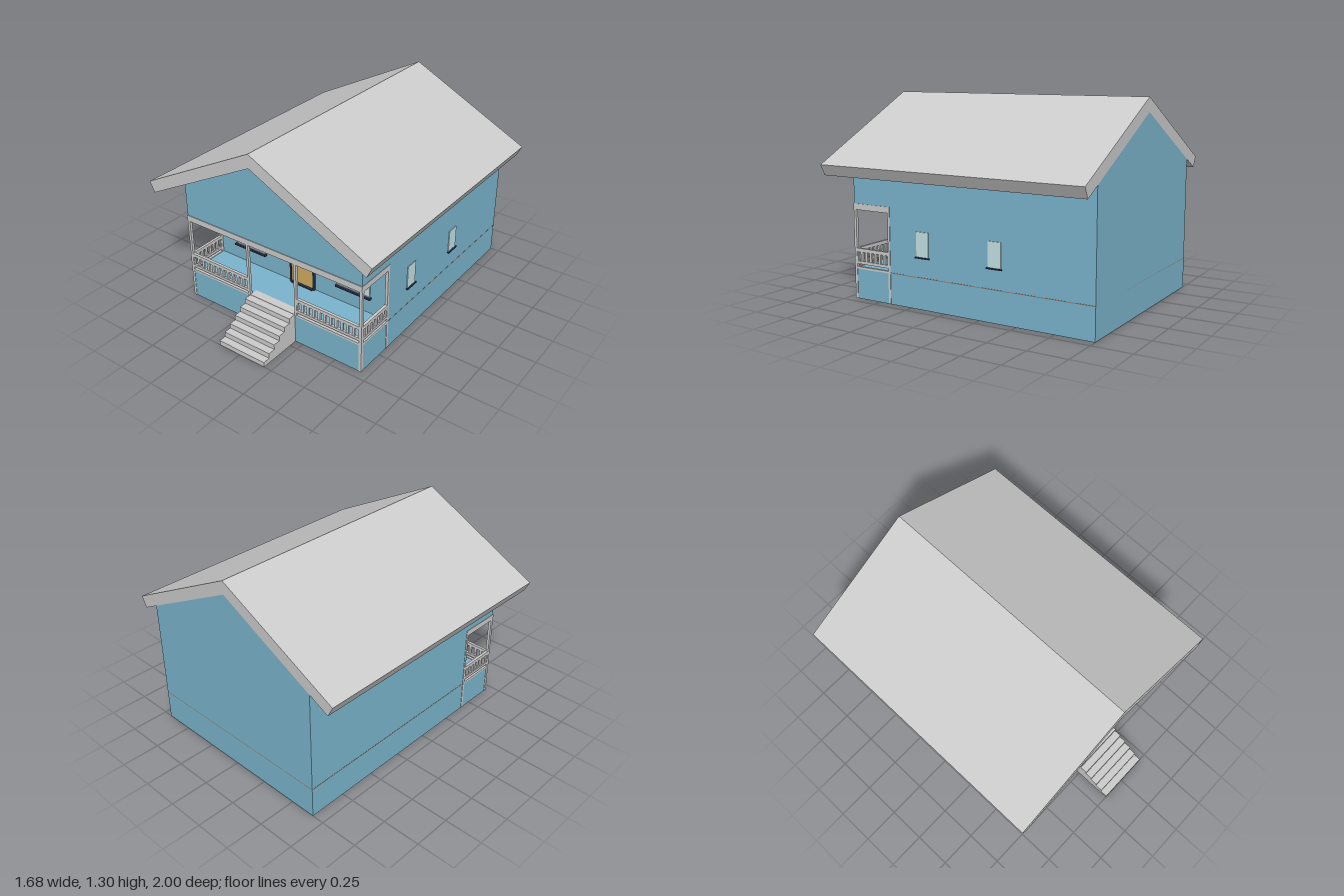
import * as THREE from 'three';

const mat = (color) => new THREE.MeshStandardMaterial({ color });

export function createModel() {
  const house = new THREE.Group();
  house.name = 'house';
  const grey = mat(0xcccccc), blue = mat(0x7ab4cc), glass = mat(0xc4e2e4);
  const navy = mat(0x2b3550), gold = mat(0xcdab5c), brown = mat(0x8f7a6c);

  // Wall limits, porch recess and floor heights
  const L = -0.67, R = 0.69, BACK = -1, FRONT = 0.695, WALL = 0.41;
  const FLOOR = 0.205, CEIL = 0.615;

  const group = (name, parent = house) => {
    const g = new THREE.Group();
    g.name = name;
    parent.add(g);
    return g;
  };
  // Box given by its lower and upper limits on each axis
  const box = (name, m, [x0, x1], [y0, y1], [z0, z1], parent = house) => {
    const mesh = new THREE.Mesh(new THREE.BoxGeometry(x1 - x0, y1 - y0, z1 - z0), m);
    mesh.position.set((x0 + x1) / 2, (y0 + y1) / 2, (z0 + z1) / 2);
    mesh.name = name;
    parent.add(mesh);
    return mesh;
  };
  // Outline in the xy plane, extruded from z0 to z1
  const prism = (name, m, points, z0, z1) => {
    const shape = new THREE.Shape(points.map(([x, y]) => new THREE.Vector2(x, y)));
    const geo = new THREE.ExtrudeGeometry(shape, { depth: z1 - z0, bevelEnabled: false });
    const mesh = new THREE.Mesh(geo, m);
    mesh.position.z = z0;
    mesh.name = name;
    house.add(mesh);
    return mesh;
  };

  // Walls: main block, porch base and the gable that overhangs the porch
  box('mainWalls', blue, [L, R], [0, CEIL], [BACK, WALL]);
  box('porchBase', blue, [L, R], [0, FLOOR], [WALL, FRONT]);
  prism('gable', blue, [[L, CEIL], [R, CEIL], [R, 0.86], [0, 1.212], [L, 0.87]], BACK, FRONT);

  // Roof: one folded slab with square-cut eaves
  prism('roof', grey, [[0, 1.3], [-0.84, 0.87], [-0.805, 0.8], [0, 1.21], [0.805, 0.8], [0.84, 0.87]], BACK, 0.83);

  // Thin floor line round the side and back walls
  box('floorTrim', brown, [L - 0.001, R + 0.001], [0.198, 0.203], [BACK, WALL]);

  // Porch posts and top beams
  const porch = group('porch');
  const T = 0.016, Z0 = FRONT - T, Z1 = FRONT + 0.003;
  const sides = [[L - 0.003, L + T], [R - T, R + 0.003]];
  for (const x of sides) {
    box('cornerPost', grey, x, [0, CEIL], [Z0, Z1], porch);
    box('wallPost', grey, x, [0, CEIL], [WALL, WALL + T], porch);
    box('sideBeam', grey, x, [0.578, CEIL + 0.002], [WALL, Z1], porch);
  }
  const inner = [[-0.18, -0.163], [0.195, 0.212]];
  for (const x of inner) box('entryPost', grey, x, [FLOOR, CEIL], [Z0, Z1], porch);
  box('frontBeam', grey, [L - 0.003, R + 0.003], [0.578, CEIL + 0.004], [Z0, Z1 + 0.002], porch);
  box('landing', grey, [-0.163, 0.195], [0.19, 0.208], [0.64, Z1], porch);

  // Railings: top rail, lower rail, floor rail and balusters along x or z
  const railing = (name, a, b, across, alongX, count) => {
    const g = group(name, porch);
    const bar = (n, span, y, c = across) =>
      box(n, grey, alongX ? span : c, y, alongX ? c : span, g);
    bar('topRail', [a, b], [0.307, 0.33]);
    bar('lowerRail', [a, b], [0.228, 0.247]);
    bar('floorRail', [a, b], [0.196, 0.21]);
    const pitch = (b - a) / count, thin = [across[0] + 0.003, across[1] - 0.003];
    for (let i = 0; i <= count; i++) {
      const c = a + i * pitch, w = 0.009;
      bar('baluster', [Math.max(a, c - w), Math.min(b, c + w)], [0.24, 0.312], thin);
    }
  };
  railing('leftFrontRailing', inner[1][1], R - T, [Z0, Z1], true, 11);
  railing('rightFrontRailing', L + T, inner[0][0], [Z0, Z1], true, 11);
  railing('leftSideRailing', WALL + T, Z0, sides[1], false, 7);
  railing('rightSideRailing', WALL + T, Z0, sides[0], false, 7);

  // Front steps
  const steps = group('steps');
  for (let i = 0; i < 6; i++)
    box('step', grey, [-0.163, 0.195], [i * 0.0343, (i + 1) * 0.0343], [FRONT, 1 - i * 0.05], steps);

  // Front windows with glazing bars and a dark sill
  for (const x of [-0.393, 0.437]) {
    const w = group('frontWindow');
    const x0 = x - 0.118, x1 = x + 0.118, y0 = 0.325, y1 = 0.497;
    box('pane', glass, [x0, x1], [y0, y1], [WALL, WALL + 0.006], w);
    for (let i = 0; i <= 3; i++) {
      const c = x0 + (i * (x1 - x0)) / 3, h = y0 + (i * (y1 - y0)) / 3;
      box('uprightBar', grey, [c - 0.003, c + 0.003], [y0, y1], [WALL, WALL + 0.009], w);
      box('crossBar', grey, [x0, x1], [h - 0.003, h + 0.003], [WALL, WALL + 0.009], w);
    }
    box('sill', navy, [x0 - 0.012, x1 + 0.012], [0.312, 0.324], [WALL, WALL + 0.022], w);
  }

  // Two small windows on the left wall only
  for (const z of [0.158, -0.356]) {
    const w = group('sideWindow');
    box('pane', glass, [R, R + 0.005], [0.33, 0.485], [z - 0.045, z + 0.045], w);
    box('sill', navy, [R, R + 0.014], [0.322, 0.33], [z - 0.052, z + 0.052], w);
  }

  // Door with frame, glazed panel and knob
  const door = group('door');
  box('leaf', gold, [-0.045, 0.126], [0.215, 0.512], [WALL, WALL + 0.01], door);
  for (const x of [[-0.057, -0.045], [0.126, 0.138]])
    box('jamb', navy, x, [FLOOR, 0.523], [WALL, WALL + 0.016], door);
  box('lintel', navy, [-0.045, 0.126], [0.512, 0.523], [WALL, WALL + 0.016], door);
  box('threshold', navy, [-0.045, 0.126], [FLOOR, 0.215], [WALL, WALL + 0.025], door);
  box('doorPane', glass, [-0.028, 0.106], [0.392, 0.492], [WALL, WALL + 0.013], door);
  const knob = new THREE.Mesh(new THREE.SphereGeometry(0.008, 12, 8), navy);
  knob.position.set(0.107, 0.38, WALL + 0.018);
  knob.name = 'knob';
  door.add(knob);

  return house;
}
